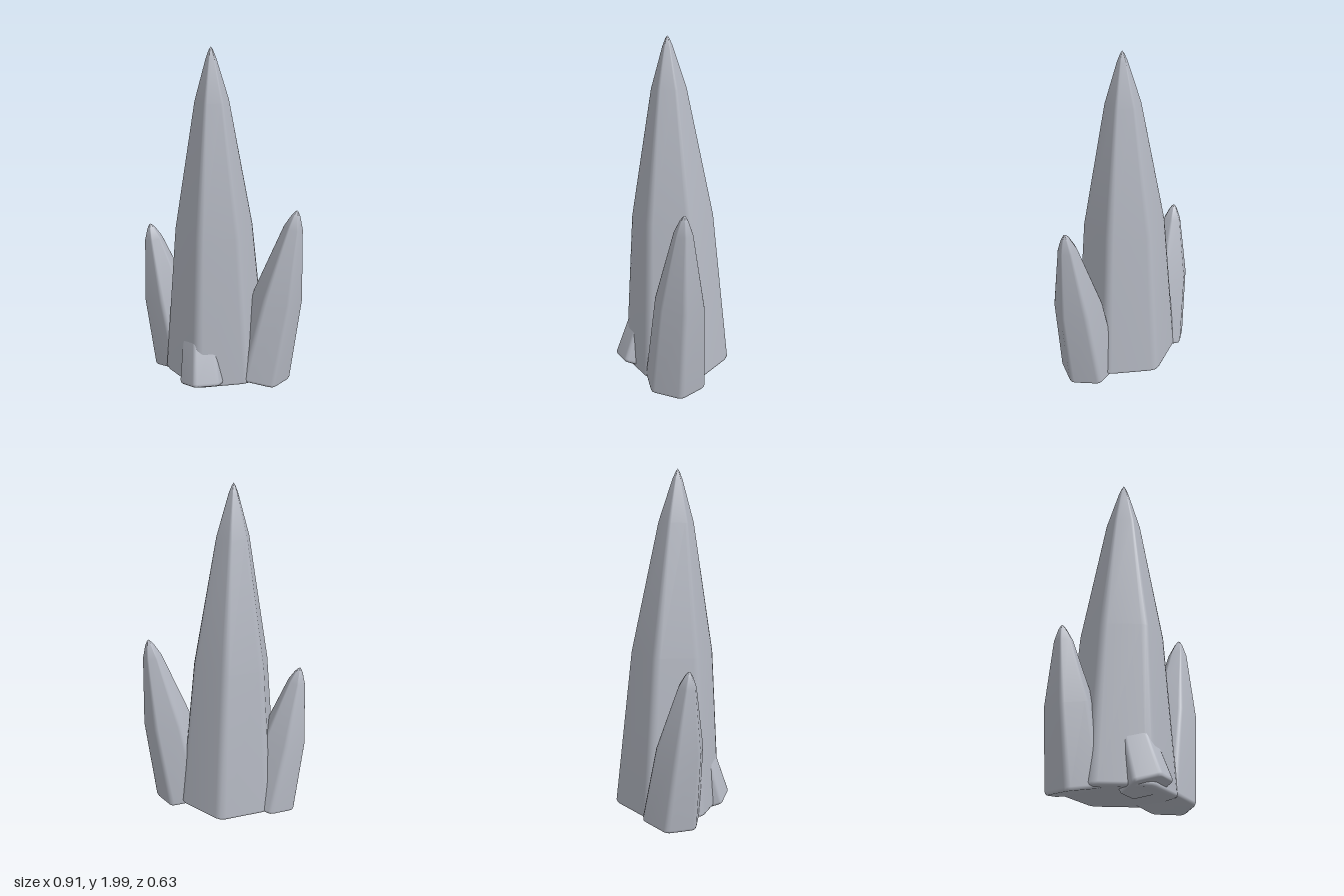
import * as THREE from 'three';

const SIDES = 6;
const UP = new THREE.Vector3(0, 1, 0);

// Unit hexagon with softly rounded corners, turned by an angle in degrees
function roundedHexagon(turn) {
  const corner = (i) => {
    const a = THREE.MathUtils.degToRad(turn + (i * 360) / SIDES);
    return new THREE.Vector2(Math.cos(a), Math.sin(a));
  };
  const points = [];
  for (let i = 0; i < SIDES; i++) {
    const c = corner(i);
    const before = c.clone().lerp(corner(i - 1), 0.12);
    const after = c.clone().lerp(corner(i + 1), 0.12);
    const middle = before.clone().add(after).multiplyScalar(0.25).addScaledVector(c, 0.5);
    points.push(before, middle, after);
  }
  return points;
}

// Tapered crystal standing square to the axis from base to tip
// rows: [fraction along the axis, fraction of the radius]
function crystalGeometry({ base, tip, radius, turn, rows, depth = 1 }) {
  const start = new THREE.Vector3(...base);
  const axis = new THREE.Vector3(...tip).sub(start);
  const length = axis.length();
  const tilt = new THREE.Quaternion().setFromUnitVectors(UP, axis.normalize());
  const outline = roundedHexagon(turn);
  const n = outline.length;
  const positions = [];
  const index = [];
  const add = (x, y, z) => {
    const p = new THREE.Vector3(x, y, z).applyQuaternion(tilt).add(start);
    positions.push(p.x, p.y, p.z);
  };

  // Rounded foot, then the tapering body
  const bevel = 0.02 / length;
  const rings = [[0, 0.93], [bevel * 0.3, 0.98], [bevel, 1], ...rows];
  for (const [t, s] of rings) {
    const stretch = t > 0.2 ? depth : 1;
    for (const p of outline) add(p.x * radius * s, t * length, p.y * radius * s * stretch);
  }
  const bottom = rings.length * n;
  const top = bottom + 1;
  add(0, 0, 0);
  add(0, length, 0);

  const last = (rings.length - 1) * n;
  for (let i = 0; i < n; i++) {
    const j = (i + 1) % n;
    for (let r = 0; r < last; r += n) {
      index.push(r + i, r + n + i, r + j, r + j, r + n + i, r + n + j);
    }
    index.push(bottom, i, j);
    index.push(last + i, top, last + j);
  }

  const geometry = new THREE.BufferGeometry();
  geometry.setAttribute('position', new THREE.Float32BufferAttribute(positions, 3));
  geometry.setIndex(index);
  geometry.computeVertexNormals();
  return geometry;
}

export function createModel() {
  const group = new THREE.Group();
  group.name = 'crystalCluster';
  const stone = new THREE.MeshStandardMaterial({ color: 0xb4b8c2 });
  stone.name = 'paleGreyCrystal';

  const tallRows = [[0.47, 0.73], [0.85, 0.31], [0.97, 0.09], [0.992, 0.035]];
  const shardRows = [[0.5, 0.81], [0.9, 0.31], [0.97, 0.14], [0.993, 0.05]];

  const crystals = {
    // Tall central spire
    mainCrystal: {
      base: [-0.03, 0.04, -0.02], tip: [-0.065, 2, 0.022],
      radius: 0.32, turn: 0, rows: tallRows, depth: 1.07,
    },
    // Outward leaning side shards
    leftCrystal: {
      base: [0.22, 0.035, 0.12], tip: [0.41, 1.09, 0.16],
      radius: 0.183, turn: 15, rows: shardRows,
    },
    rearCrystal: {
      base: [-0.235, 0.035, -0.16], tip: [-0.412, 0.93, -0.178],
      radius: 0.177, turn: 47, rows: shardRows,
    },
    // Short stub leaning into the spire
    frontCrystal: {
      base: [-0.135, 0.042, 0.193], tip: [-0.135, 0.56, 0.05],
      radius: 0.145, turn: 0, rows: shardRows,
    },
  };

  for (const [name, spec] of Object.entries(crystals)) {
    const mesh = new THREE.Mesh(crystalGeometry(spec), stone);
    mesh.name = name;
    group.add(mesh);
  }
  return group;
}
